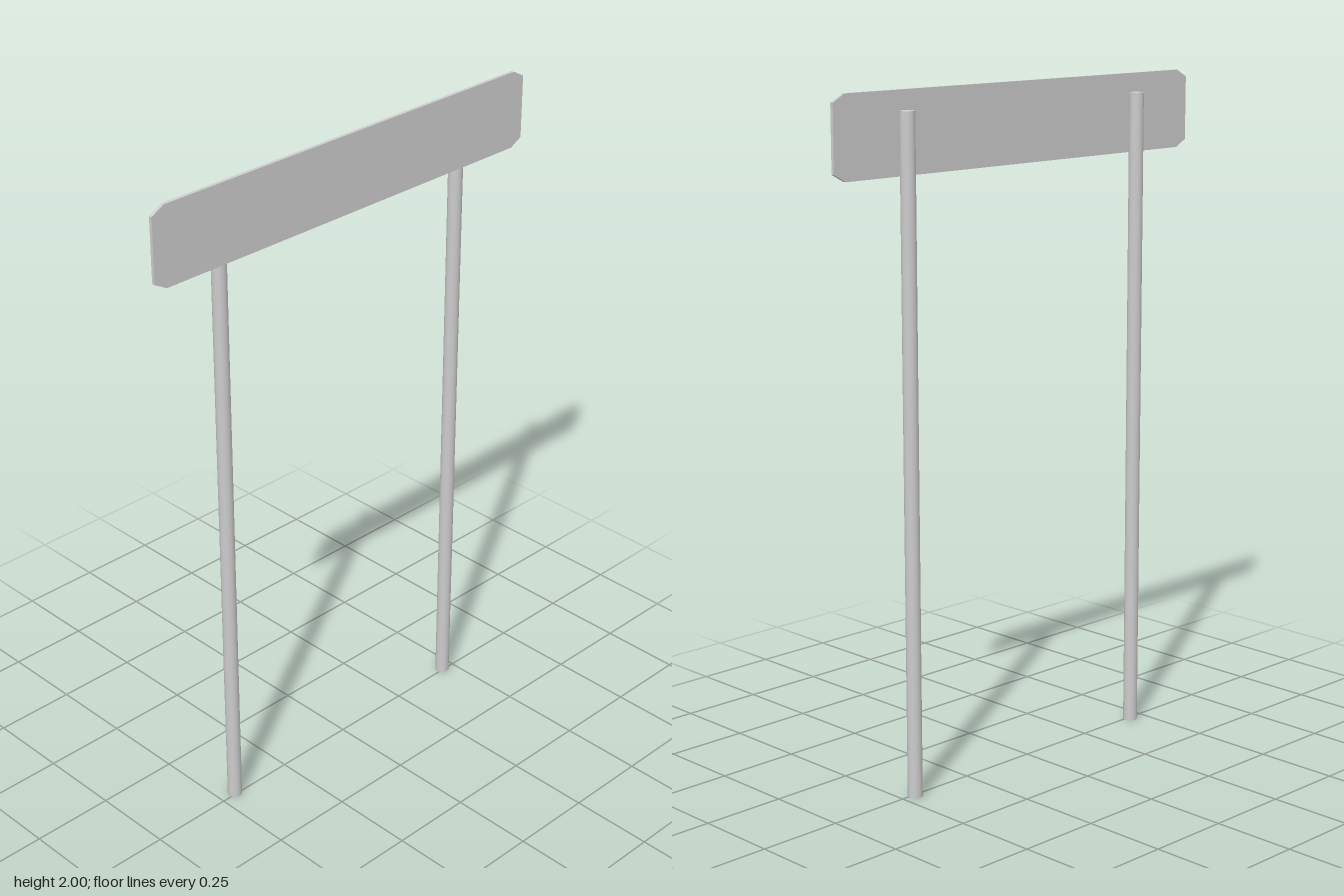
import * as THREE from 'three';

const material = new THREE.MeshStandardMaterial({ color: 0xcccccc });

export function createModel() {
  const group = new THREE.Group();
  group.name = 'signboard';

  // Two round posts standing behind the board
  const radius = 0.0215, height = 1.945;
  const postGeometry = new THREE.CylinderGeometry(radius, radius, height, 16);
  for (const [name, x] of [['rightPost', -0.449], ['leftPost', 0.458]]) {
    const post = new THREE.Mesh(postGeometry, material);
    post.name = name;
    post.position.set(x, height / 2, -0.0065);
    group.add(post);
  }

  // Thin board with clipped corners
  const w = 0.696, bottom = 1.768, top = 2, cx = 0.04, cy = 0.022;
  const outline = new THREE.Shape([
    [-w + cx, bottom], [w - cx, bottom], [w, bottom + cy], [w, top - cy],
    [w - cx, top], [-w + cx, top], [-w, top - cy], [-w, bottom + cy],
  ].map(([x, y]) => new THREE.Vector2(x, y)));
  const board = new THREE.Mesh(
    new THREE.ExtrudeGeometry(outline, { depth: 0.01, bevelEnabled: false }),
    material
  );
  board.name = 'board';
  board.position.z = 0.018;
  group.add(board);

  return group;
}
